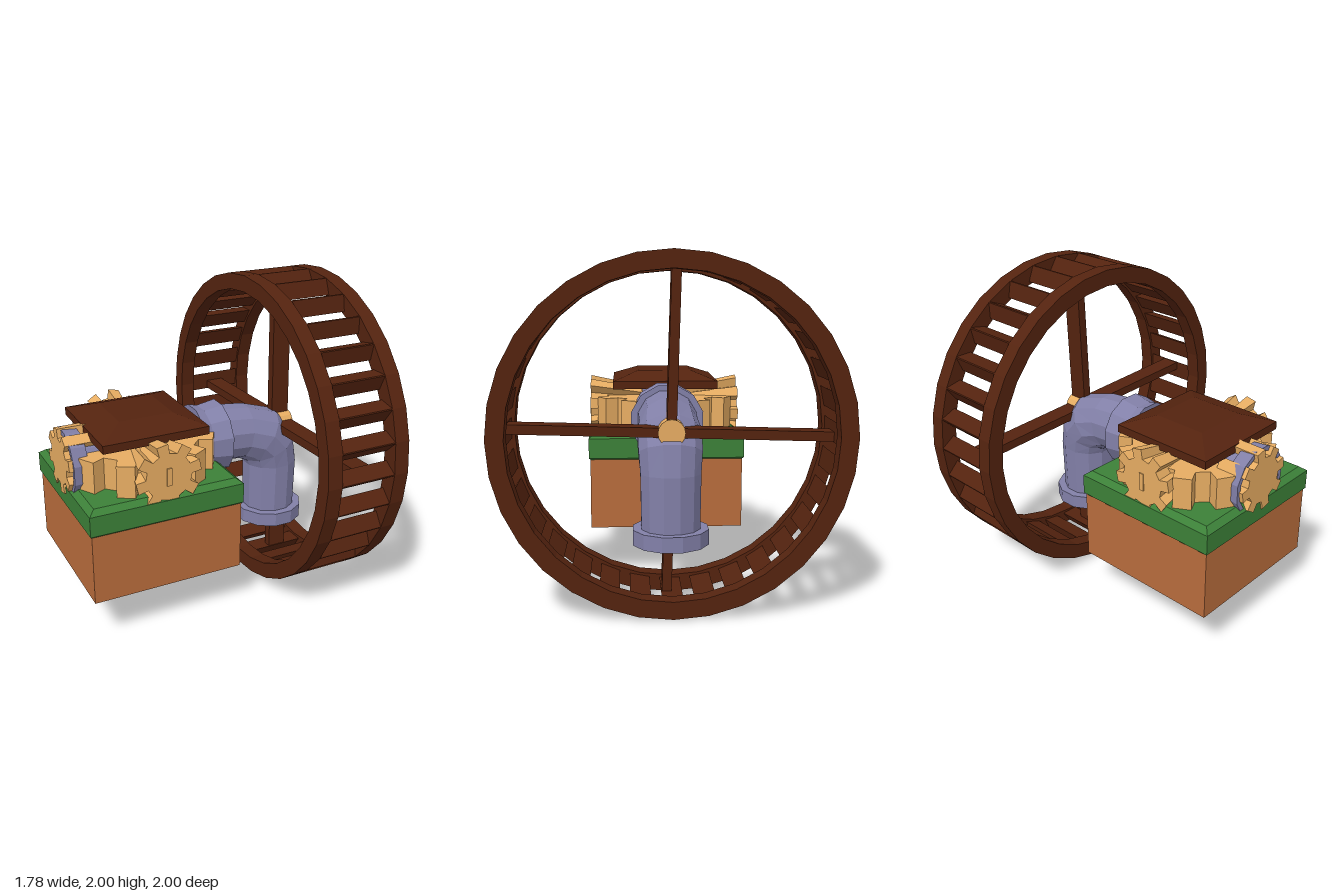
import * as THREE from 'three';

const mat = (color) => new THREE.MeshStandardMaterial({ color, flatShading: true, side: THREE.DoubleSide });

// Box standing on y = 0 whose top face is scaled
function frustum(w, h, d, topX, topZ) {
  const g = new THREE.BoxGeometry(w, h, d).translate(0, h / 2, 0);
  const p = g.attributes.position;
  for (let i = 0; i < p.count; i++) {
    if (p.getY(i) > h / 2) { p.setX(i, p.getX(i) * topX); p.setZ(i, p.getZ(i) * topZ); }
  }
  return g;
}

// Toothed disc from z = 0 to z = depth, the z = 0 end scaled by taper
function gear(teeth, rOut, rIn, depth, taper = 1, turn = 0) {
  const pts = [];
  const step = (Math.PI * 2) / teeth;
  for (let i = 0; i < teeth; i++) {
    for (const [f, r] of [[-0.29, rIn], [-0.22, rOut], [0.22, rOut], [0.29, rIn]]) {
      const a = (i + f) * step + turn;
      pts.push(new THREE.Vector2(r * Math.cos(a), r * Math.sin(a)));
    }
  }
  const g = new THREE.ExtrudeGeometry(new THREE.Shape(pts), { depth, bevelEnabled: false });
  const p = g.attributes.position;
  for (let i = 0; i < p.count; i++) {
    const s = THREE.MathUtils.lerp(taper, 1, p.getZ(i) / depth);
    p.setXY(i, p.getX(i) * s, p.getY(i) * s);
  }
  return g;
}

// Round tube through stations [x, y, heading in degrees, radius], closed by end discs
function loft(stations, sides) {
  const pos = [], idx = [];
  for (const [x, y, deg, r] of stations) {
    const a = THREE.MathUtils.degToRad(deg);
    for (let j = 0; j < sides; j++) {
      const t = ((j + 0.5) / sides) * Math.PI * 2;
      pos.push(x - Math.sin(a) * r * Math.cos(t), y + Math.cos(a) * r * Math.cos(t), r * Math.sin(t));
    }
  }
  const n = stations.length;
  for (let i = 0; i < n - 1; i++) {
    for (let j = 0; j < sides; j++) {
      const k = (j + 1) % sides;
      const a = i * sides + j, b = i * sides + k, c = b + sides, d = a + sides;
      idx.push(a, b, c, a, c, d);
    }
  }
  const last = (n - 1) * sides;
  for (let j = 1; j < sides - 1; j++) idx.push(0, j + 1, j, last, last + j, last + j + 1);
  const g = new THREE.BufferGeometry();
  g.setAttribute('position', new THREE.Float32BufferAttribute(pos, 3));
  g.setIndex(idx);
  g.computeVertexNormals();
  return g;
}

export function createModel() {
  const model = new THREE.Group();
  const wood = mat(0x54230f), dirt = mat(0xb86c3c), grass = mat(0x3c8038);
  const brass = mat(0xe6ac62), metal = mat(0x8280a8);
  const add = (name, geo, material, x = 0, y = 0, z = 0, parent = model) => {
    const m = new THREE.Mesh(geo, material);
    m.name = name;
    m.position.set(x, y, z);
    parent.add(m);
    return m;
  };
  const cx = -0.397;

  // Ground block with grass top
  add('dirtBlock', new THREE.BoxGeometry(0.955, 0.45, 0.955), dirt, cx, 0.525, 0);
  add('grassUnderside', frustum(0.95, 0.012, 0.95, 1.026, 1.026), grass, cx, 0.735, 0);
  add('grassSlab', frustum(0.975, 0.125, 0.975, 1, 1), grass, cx, 0.747, 0);
  add('grassBevel', frustum(0.975, 0.03, 0.975, 0.92, 0.92), grass, cx, 0.872, 0);

  // Gears: one flat, two facing front and back, one in the pipe mouth
  add('flatGear', gear(12, 0.475, 0.39, 0.2), brass, cx, 0.9, 0).rotation.x = -Math.PI / 2;
  for (const side of [1, -1]) {
    const name = side > 0 ? 'frontGear' : 'backGear';
    const g = add(name, gear(8, 0.205, 0.145, 0.34, 0.65, 0.2), brass, cx, 1.02, 0.145 * side);
    if (side < 0) g.rotation.y = Math.PI;
    add(name + 'Hub', new THREE.BoxGeometry(0.03, 0.11, 0.02), brass, cx, 1.02, 0.482 * side);
    add('roofPost', new THREE.BoxGeometry(0.08, 0.12, 0.06), brass, cx, 1.13, 0.265 * side);
  }
  add('mouthGear', gear(8, 0.2, 0.145, 0.2, 1, 0.2), brass, -0.695, 1.02, 0).rotation.y = -Math.PI / 2;

  // Square roof over the gears
  add('roofSlab', new THREE.BoxGeometry(0.67, 0.05, 0.67), wood, -0.4, 1.19, 0);
  add('roofSlope', frustum(0.67, 0.06, 0.67, 0.51, 0.51), wood, -0.4, 1.213, 0);

  // Pipe: flared mouth, straight run, collar, elbow, outlet collar
  add('pipe', loft([
    [-0.72, 1, 0, 0.16], [-0.87, 1, 0, 0.19], [-0.87, 1, 0, 0.22], [-0.775, 1, 0, 0.21],
    [-0.775, 1, 0, 0.175], [-0.02, 1, 0, 0.175], [-0.02, 0.99, 0, 0.225], [0.04, 0.99, 0, 0.21],
    [0.165, 0.99, 0, 0.23], [0.165, 1, 0, 0.185], [0.33, 0.985, -10, 0.18], [0.45, 0.945, -40, 0.195],
    [0.53, 0.86, -65, 0.19], [0.555, 0.75, -88, 0.18], [0.555, 0.43, -90, 0.175], [0.555, 0.43, -90, 0.225],
    [0.555, 0.34, -90, 0.225], [0.555, 0.34, -90, 0.18], [0.555, 0.45, -90, 0.165],
  ], 12), metal);

  // Wheel around the pipe outlet
  const wheel = new THREE.Group();
  wheel.name = 'waterWheel';
  wheel.position.set(0.612, 1, 0);
  model.add(wheel);
  const w = 0.048;
  const ring = [[0.9, -w], [1, -w], [1, w], [0.9, w], [0.9, -w]].map(([a, b]) => new THREE.Vector2(a, b));
  const rimGeo = new THREE.LatheGeometry(ring, 32);
  for (const s of [1, -1]) add('rim', rimGeo, wood, 0.229 * s, 0, 0, wheel).rotation.z = Math.PI / 2;

  // Ridged slats between the rims
  const slatGeo = frustum(0.37, 0.085, 0.12, 1.48, 0.06).translate(0, 0.914, 0);
  for (let i = 0; i < 32; i++) add('slat', slatGeo, wood, 0, 0, 0, wheel).rotation.x = (i / 32) * Math.PI * 2;

  // Crossed spokes and axle
  for (let i = 0; i < 2; i++) {
    add('spoke', new THREE.BoxGeometry(0.12, 1.84, 0.055), wood, 0, 0, 0, wheel).rotation.x = -0.03 + i * Math.PI / 2;
  }
  add('axle', new THREE.CylinderGeometry(0.078, 0.078, 0.16, 16), brass, -0.01, 0, 0, wheel).rotation.z = Math.PI / 2;
  return model;
}
